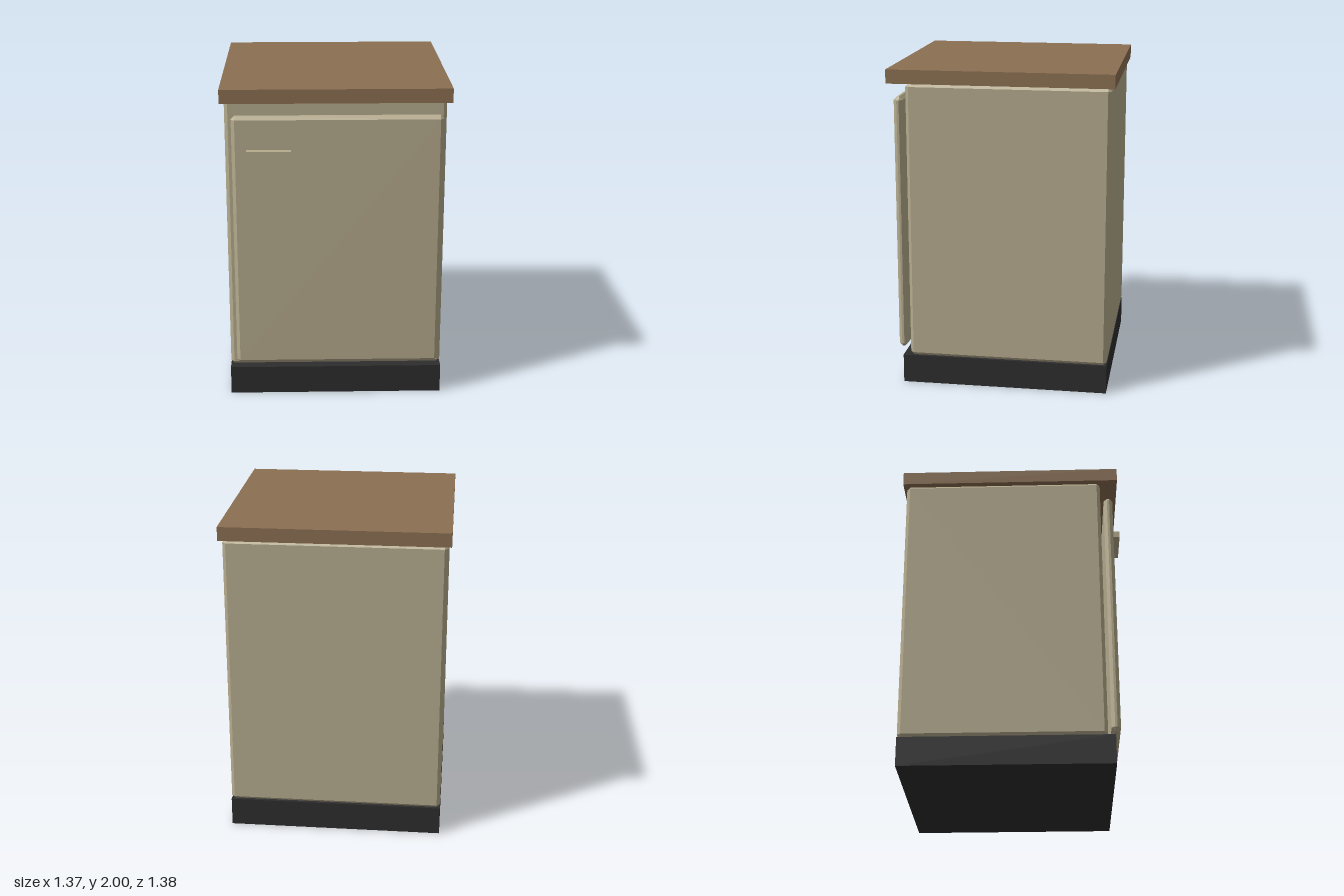
import * as THREE from 'three';
import { ConvexGeometry } from 'three/addons/geometries/ConvexGeometry.js';

// Box with flat chamfers on every edge: each corner becomes three points.
function chamferedBox(w, h, d, c) {
  const points = [];
  for (const sx of [-1, 1]) for (const sy of [-1, 1]) for (const sz of [-1, 1]) {
    const x = w / 2, y = h / 2, z = d / 2;
    points.push(
      new THREE.Vector3(sx * x, sy * (y - c), sz * (z - c)),
      new THREE.Vector3(sx * (x - c), sy * y, sz * (z - c)),
      new THREE.Vector3(sx * (x - c), sy * (y - c), sz * z)
    );
  }
  return new ConvexGeometry(points);
}

export function createModel() {
  const model = new THREE.Group();
  model.name = 'cabinet';

  const makeMaterial = (name, color) => {
    const material = new THREE.MeshStandardMaterial({ color });
    material.name = name;
    return material;
  };
  const paint = makeMaterial('beige paint', 0xb5ab8d);
  const wood = makeMaterial('brown wood', 0x8b6f52);
  const dark = makeMaterial('dark plinth', 0x2d2d2d);

  // Adds a block spanning the given [min, max] ranges, chamfered if asked.
  const addBlock = (name, material, [x0, x1], [y0, y1], [z0, z1], chamfer = 0) => {
    const size = [x1 - x0, y1 - y0, z1 - z0];
    const geometry = chamfer ? chamferedBox(...size, chamfer) : new THREE.BoxGeometry(...size);
    const mesh = new THREE.Mesh(geometry, material);
    mesh.name = name;
    mesh.position.set((x0 + x1) / 2, (y0 + y1) / 2, (z0 + z1) / 2);
    model.add(mesh);
  };

  addBlock('plinth', dark, [-0.666, 0.666], [0, 0.18], [-0.668, 0.619]);
  addBlock('body', paint, [-0.666, 0.666], [0.18, 1.915], [-0.668, 0.574], 0.021);
  addBlock('worktop', wood, [-0.687, 0.687], [1.915, 2], [-0.69, 0.684], 0);
  addBlock('door', paint, [-0.623, 0.643], [0.225, 1.828], [0.597, 0.653], 0.021);
  addBlock('handle', paint, [-0.535, -0.268], [1.582, 1.625], [0.653, 0.695]);

  return model;
}
